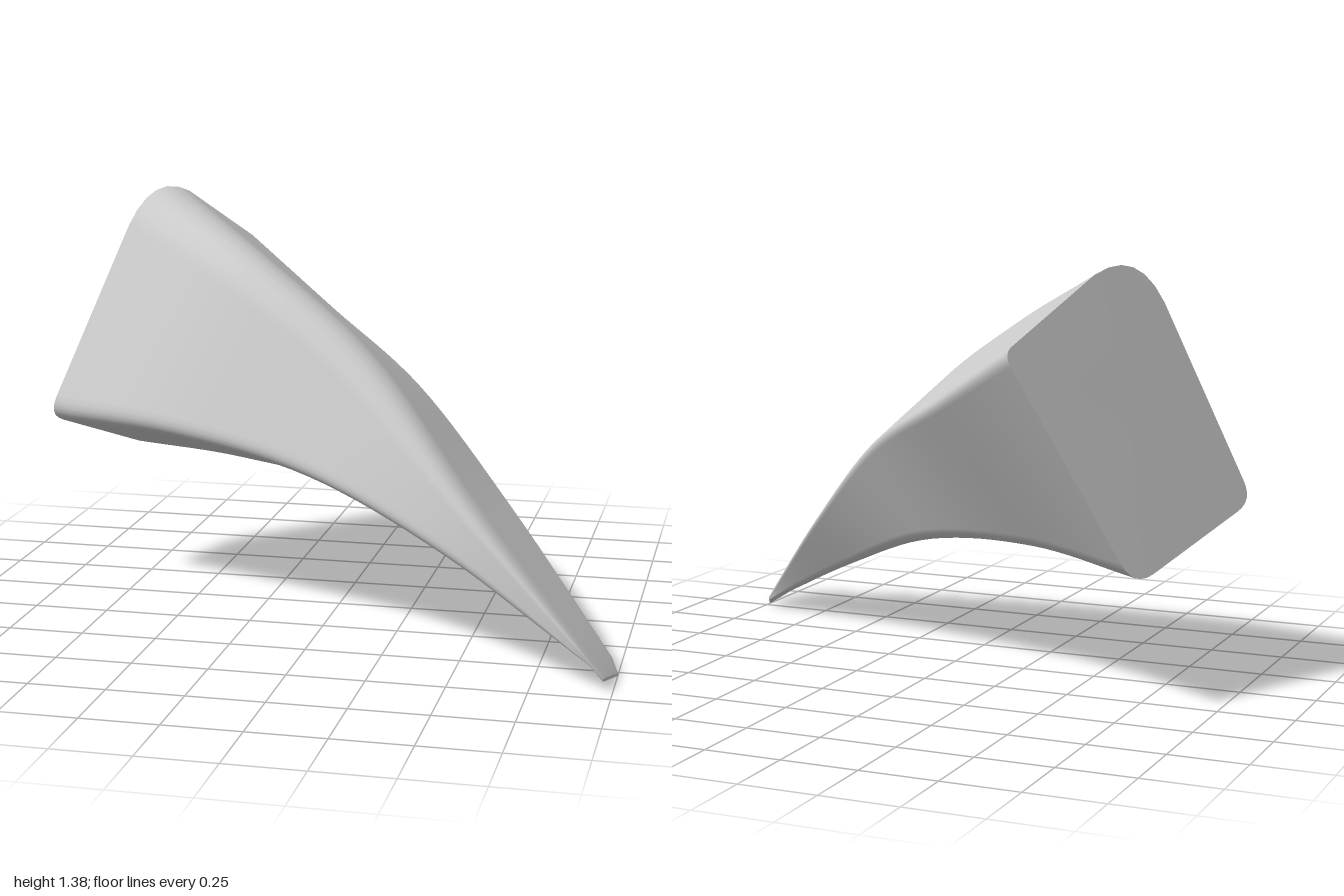
import * as THREE from 'three';

const V = (x, y, z) => new THREE.Vector3(x, y, z);
const curve = (pts) => new THREE.CatmullRomCurve3(pts.map((p) => V(...p)));

// Four ridges from the broad base to the thin tip, in order around the section
const ridges = [
  { radius: 0.2, path: curve([[-0.7, 1.37, -0.23], [-0.29, 1.18, 0.07], [0.125, 0.915, 0.29], [0.54, 0.5, 0.55], [0.93, 0.1, 0.7]]), end: V(0.975, 0.045, 0.69) },
  { radius: 0.05, path: curve([[-0.48, 1.14, -0.71], [-0.115, 0.94, -0.41], [0.25, 0.74, -0.12], [0.615, 0.41, 0.17], [0.975, 0.04, 0.475]]), end: V(1, 0.008, 0.53) },
  { radius: 0.09, path: curve([[-0.79, 0.44, -0.43], [-0.35, 0.46, -0.18], [0.1, 0.415, 0.01], [0.54, 0.24, 0.27], [0.975, 0.025, 0.48]]), end: V(1, 0, 0.53) },
  { radius: 0.08, path: curve([[-1, 0.63, 0.03], [-0.51, 0.63, 0.23], [-0.025, 0.56, 0.4], [0.46, 0.37, 0.57], [0.93, 0.085, 0.705]]), end: V(0.97, 0.035, 0.695) },
];

// Four-sided section with rounded corners passing through the given points
function section(corners, scale, steps = 6) {
  const ring = [];
  corners.forEach((p, i) => {
    const toSide = (q) => {
      const d = q.clone().sub(p);
      return d.setLength(Math.min(ridges[i].radius * scale, d.length() * 0.35));
    };
    const a = toSide(corners[(i + 3) % 4]);
    const b = toSide(corners[(i + 1) % 4]);
    const c = p.clone().addScaledVector(a, -0.25).addScaledVector(b, -0.25);
    const bend = new THREE.QuadraticBezierCurve3(c.clone().add(a), c, c.clone().add(b));
    ring.push(...bend.getPoints(steps));
  });
  return ring;
}

function geometryFrom(points, index) {
  const g = new THREE.BufferGeometry().setFromPoints(points);
  g.setIndex(index);
  g.computeVertexNormals();
  return g;
}

export function createModel() {
  const group = new THREE.Group();
  group.name = 'curvedHorn';
  const material = new THREE.MeshStandardMaterial({ color: 0xcccccc, side: THREE.DoubleSide });

  // Sections swept along the ridges, closed by a narrow blade edge
  const rows = 32;
  const rings = [];
  for (let i = 0; i <= rows; i++) {
    const t = i / rows;
    rings.push(section(ridges.map((r) => r.path.getPoint(t)), 1 - 0.75 * t));
  }
  rings.push(section(ridges.map((r) => r.end), 0.2));

  const n = rings[0].length;
  const index = [];
  for (let r = 0; r < rings.length - 1; r++) {
    for (let k = 0; k < n; k++) {
      const a = r * n + k, b = r * n + ((k + 1) % n);
      index.push(a, a + n, b, b, a + n, b + n);
    }
  }
  const body = new THREE.Mesh(geometryFrom(rings.flat(), index), material);
  body.name = 'hornBody';
  group.add(body);

  // Flat caps on the base and the tip edge
  const addCap = (ring, flip, name) => {
    const centre = ring.reduce((s, p) => s.add(p), V(0, 0, 0)).divideScalar(n);
    const faces = [];
    for (let k = 0; k < n; k++) {
      const next = (k + 1) % n;
      faces.push(n, flip ? next : k, flip ? k : next);
    }
    const cap = new THREE.Mesh(geometryFrom([...ring, centre], faces), material);
    cap.name = name;
    group.add(cap);
  };
  addCap(rings[0], false, 'baseCap');
  addCap(rings[rings.length - 1], true, 'tipEdge');
  return group;
}
